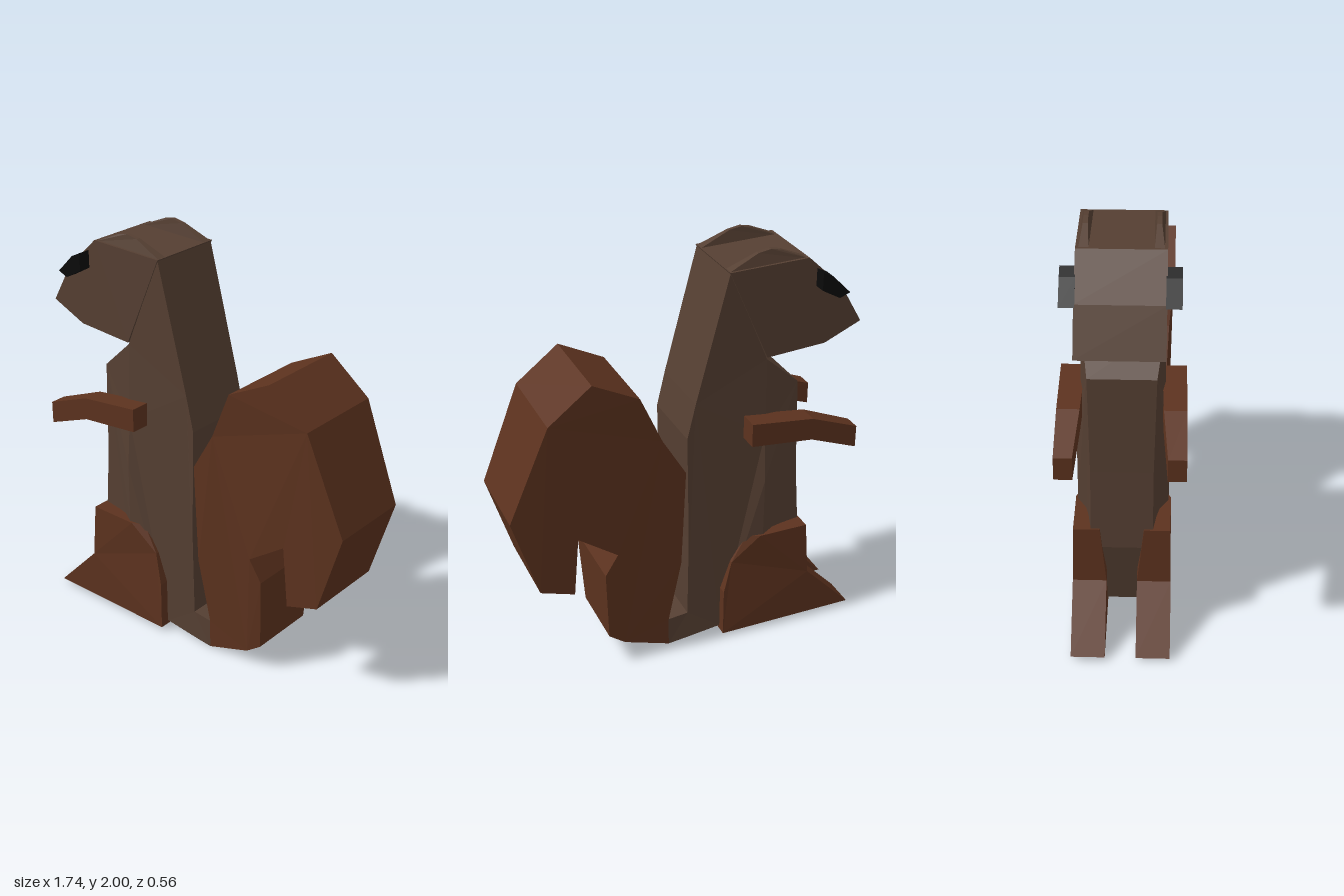
import * as THREE from 'three';

const fur = new THREE.MeshStandardMaterial({ color: 0x553f32, flatShading: true });
const rust = new THREE.MeshStandardMaterial({ color: 0x5c321e, flatShading: true });
const black = new THREE.MeshStandardMaterial({ color: 0x0a0a0a, flatShading: true });

// Side profile made solid: each point is [x, y, zOuter, zInner = -zOuter].
// side = -1 mirrors the solid across z.
function slab(name, points, material, side = 1) {
  let pts = points.map(([x, y, a, b = -a]) => ({
    x, y, front: side > 0 ? a : -b, back: side > 0 ? b : -a,
  }));
  const outline = (list) => list.map((p) => new THREE.Vector2(p.x, p.y));
  if (THREE.ShapeUtils.isClockWise(outline(pts))) pts = pts.reverse();
  const pos = [];
  const put = (p, z) => pos.push(p.x, p.y, z);
  // two side caps
  for (const [a, b, c] of THREE.ShapeUtils.triangulateShape(outline(pts), [])) {
    for (const i of [a, b, c]) put(pts[i], pts[i].front);
    for (const i of [a, c, b]) put(pts[i], pts[i].back);
  }
  // rim
  pts.forEach((p, i) => {
    const q = pts[(i + 1) % pts.length];
    put(p, p.front); put(p, p.back); put(q, q.back);
    put(p, p.front); put(q, q.back); put(q, q.front);
  });
  const geo = new THREE.BufferGeometry();
  geo.setAttribute('position', new THREE.Float32BufferAttribute(pos, 3));
  geo.computeVertexNormals();
  const mesh = new THREE.Mesh(geo, material);
  mesh.name = name;
  return mesh;
}

export function createModel() {
  const model = new THREE.Group();
  model.name = 'squirrel';

  // Back and neck, ending in a short stub under the tail
  model.add(slab('body', [
    [-0.38, 0.06, 0.18], [-0.17, 0.04, 0.18], [0, 0.01, 0.17], [0.1, 0, 0.17],
    [0.1, 0.15, 0.17], [0, 0.16, 0.17], [0, 0.6, 0.18], [0.01, 1.15, 0.18],
    [-0.03, 1.32, 0.18], [-0.19, 1.93, 0.18], [-0.38, 1.48, 0.18],
    [-0.38, 1.1, 0.19], [-0.38, 0.85, 0.21], [-0.38, 0.55, 0.21],
  ], fur));

  // Chest and belly, narrowing to the front
  model.add(slab('chest', [
    [-0.38, 0.06, 0.18], [-0.38, 0.55, 0.21], [-0.38, 0.85, 0.21],
    [-0.38, 1.1, 0.19], [-0.38, 1.48, 0.18], [-0.56, 1.32, 0.15],
    [-0.58, 0.85, 0.14], [-0.61, 0.45, 0.14], [-0.55, 0.1, 0.12],
  ], fur));

  // Head
  model.add(slab('head', [
    [-0.85, 1.59, 0.185], [-0.67, 1.51, 0.185], [-0.38, 1.49, 0.185],
    [-0.185, 1.93, 0.185], [-0.57, 1.94, 0.185], [-0.74, 1.78, 0.185],
  ], fur));

  // Bushy tail with its curled tip
  model.add(slab('tail', [
    [0.1, 0, 0.17], [0.33, 0.08, 0.17], [0.41, 0.14, 0.17], [0.43, 0.52, 0.2],
    [0.37, 0.63, 0.21], [0.56, 0.765, 0.21], [0.585, 0.465, 0.205], [0.75, 0.52, 0.205],
    [0.87, 0.92, 0.205], [0.68, 1.38, 0.225], [0.475, 1.54, 0.225], [0.255, 1.43, 0.225],
    [0.14, 1.18, 0.2], [0.02, 0.98, 0.19], [0.04, 0.48, 0.185], [0.1, 0.15, 0.17],
  ], rust));

  for (const side of [1, -1]) {
    const label = side > 0 ? 'left' : 'right';

    // Ear ridge
    model.add(slab(label + 'Ear', [
      [-0.58, 1.93, 0.175, 0.13], [-0.19, 1.93, 0.175, 0.13],
      [-0.33, 1.99, 0.16, 0.14], [-0.39, 2, 0.16, 0.14], [-0.44, 1.99, 0.16, 0.14],
    ], fur, side));

    // Eye
    model.add(slab(label + 'Eye', [
      [-0.75, 1.77, 0.245, 0.18], [-0.7, 1.75, 0.245, 0.18],
      [-0.61, 1.8, 0.245, 0.18], [-0.61, 1.885, 0.245, 0.18], [-0.66, 1.86, 0.245, 0.18],
    ], black, side));

    // Arm
    model.add(slab(label + 'Arm', [
      [-0.27, 1.1, 0.28, 0.17], [-0.27, 1.215, 0.28, 0.17], [-0.58, 1.18, 0.28, 0.18],
      [-0.815, 1.09, 0.28, 0.2], [-0.815, 0.98, 0.28, 0.2], [-0.58, 1.07, 0.28, 0.18],
    ], rust, side));

    // Haunch and foot
    model.add(slab(label + 'Leg', [
      [-0.87, 0.02, 0.225, 0.07], [-0.17, 0.02, 0.225, 0.07], [-0.17, 0.27, 0.225, 0.07],
      [-0.22, 0.42, 0.2, 0.07], [-0.3, 0.55, 0.19, 0.08], [-0.36, 0.55, 0.22, 0.08],
      [-0.61, 0.55, 0.22, 0.1], [-0.63, 0.27, 0.225, 0.07],
    ], rust, side));
  }
  return model;
}
